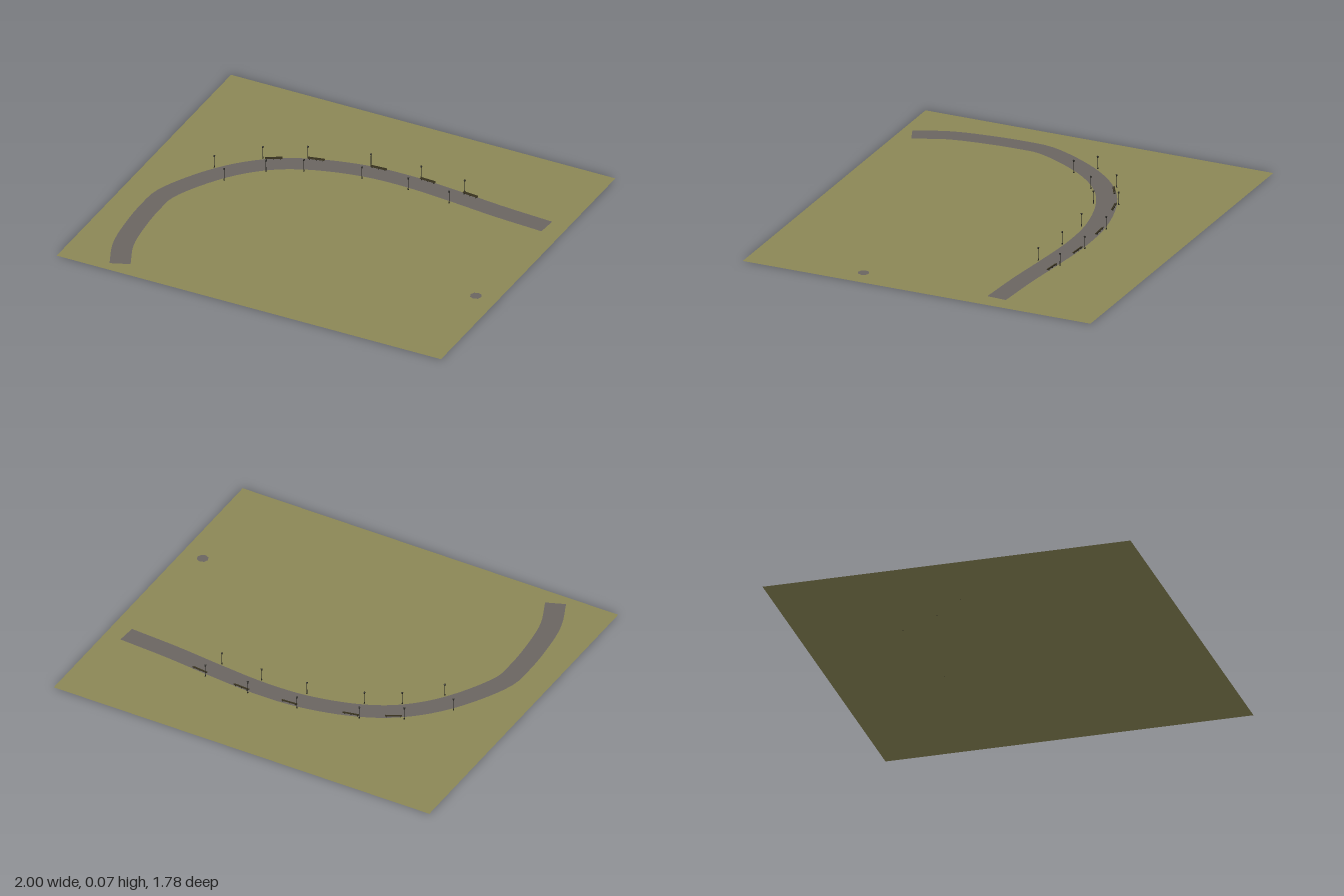
import * as THREE from 'three';

const mat = (name, color, side = THREE.FrontSide) => {
  const m = new THREE.MeshStandardMaterial({ color, side });
  m.name = name;
  return m;
};

export function createModel() {
  const grass = mat('dry grass', 0x8b8756, THREE.DoubleSide);
  const asphalt = mat('asphalt', 0x6a6561, THREE.DoubleSide);
  const iron = mat('dark iron', 0x25241f);
  const wood = mat('dark wood', 0x3a3420);

  const model = new THREE.Group();
  model.name = 'parkPath';
  const add = (parent, name, geo, material, x = 0, y = 0, z = 0) => {
    const mesh = new THREE.Mesh(geo, material);
    mesh.name = name;
    mesh.position.set(x, y, z);
    parent.add(mesh);
    return mesh;
  };

  // Flat ground
  add(model, 'ground', new THREE.PlaneGeometry(2, 1.78).rotateX(-Math.PI / 2), grass);

  // Curved path: a ribbon of constant width swept along its centre line
  const centre = [
    [-0.705, 0.822], [-0.77, 0.66], [-0.8, 0.45], [-0.806, 0.3], [-0.797, 0.18], [-0.655, -0.093],
    [-0.5, -0.255], [-0.333, -0.348], [-0.08, -0.415], [0.15, -0.428],
    [0.42, -0.408], [0.65, -0.384], [0.91, -0.367],
  ].map(([x, z]) => new THREE.Vector3(x, 0, z));
  const curve = new THREE.CatmullRomCurve3(centre);
  const steps = 64, half = 0.049;
  const road = new THREE.PlaneGeometry(1, 1, 1, steps).rotateX(-Math.PI / 2);
  const pos = road.attributes.position;
  for (let i = 0; i <= steps; i++) {
    const p = curve.getPointAt(i / steps), t = curve.getTangentAt(i / steps);
    // Rows run from the far end so that the upper face looks up
    const row = (steps - i) * 2;
    pos.setXYZ(row, p.x + t.z * half, 0.002, p.z - t.x * half);
    pos.setXYZ(row + 1, p.x - t.z * half, 0.002, p.z + t.x * half);
  }
  add(model, 'path', road, asphalt);

  // Small paved patch away from the path
  add(model, 'pavedPatch', new THREE.CircleGeometry(0.028, 8).rotateX(-Math.PI / 2), asphalt, 0.892, 0.001, 0.322);

  // Street lamps, in pairs on the two sides of the path
  const lampBase = new THREE.CylinderGeometry(0.002, 0.0035, 0.008, 8);
  const lampPole = new THREE.CylinderGeometry(0.0012, 0.0016, 0.058, 8);
  const lampHead = new THREE.CylinderGeometry(0.0045, 0.003, 0.007, 8);
  const lampCap = new THREE.ConeGeometry(0.0055, 0.003, 8);
  [
    [-0.7, -0.132], [-0.609, -0.052], [-0.536, -0.305], [-0.469, -0.205],
    [-0.351, -0.402], [-0.315, -0.29], [-0.06, -0.475], [-0.046, -0.355],
    [0.196, -0.485], [0.189, -0.366], [0.431, -0.468], [0.411, -0.348],
  ].forEach(([x, z]) => {
    const lamp = new THREE.Group();
    lamp.name = 'streetLamp';
    lamp.position.set(x, 0, z);
    add(lamp, 'lampBase', lampBase, iron, 0, 0.004, 0);
    add(lamp, 'lampPole', lampPole, iron, 0, 0.029, 0);
    add(lamp, 'lampHead', lampHead, iron, 0, 0.06, 0);
    add(lamp, 'lampCap', lampCap, iron, 0, 0.065, 0);
    model.add(lamp);
  });

  // Low benches along the outer edge; each entry is x, z and turn
  const slat = new THREE.BoxGeometry(0.08, 0.002, 0.004);
  const back = new THREE.BoxGeometry(0.08, 0.004, 0.0015);
  const leg = new THREE.BoxGeometry(0.002, 0.008, 0.01);
  [
    [-0.485, -0.316, 0.5], [-0.306, -0.399, 0.22], [-0.013, -0.461, 0.06],
    [0.239, -0.467, -0.05], [0.472, -0.445, -0.1],
  ].forEach(([x, z, turn]) => {
    const bench = new THREE.Group();
    bench.name = 'bench';
    bench.position.set(x, 0, z);
    bench.rotation.y = turn;
    for (const dz of [-0.003, 0.003]) add(bench, 'seatSlat', slat, wood, 0, 0.008, dz);
    add(bench, 'backRail', back, wood, 0, 0.011, -0.0045);
    for (const dx of [-0.032, 0, 0.032]) add(bench, 'benchLeg', leg, iron, dx, 0.004, 0);
    model.add(bench);
  });

  return model;
}
